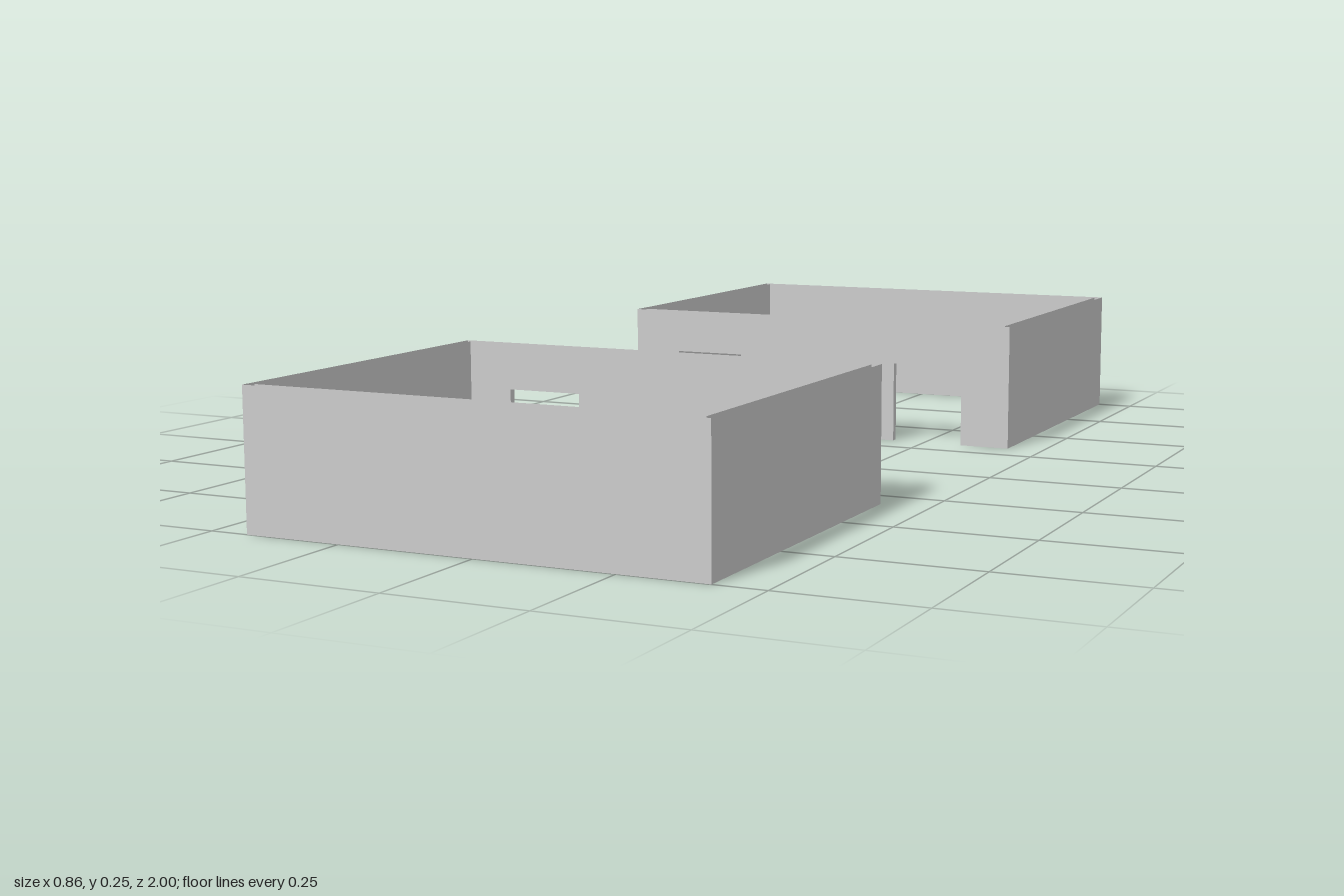
import * as THREE from 'three';

const W = 0.838, H = 0.246, D = 0.676, T = 0.014; // enclosure size and wall thickness
const DOOR_X = 0.246, DOOR_W = 0.146, DOOR_H = 0.16;

const material = new THREE.MeshStandardMaterial({ color: 0xcccccc, side: THREE.DoubleSide, flatShading: true });

function add(parent, name, geometry) {
  const mesh = new THREE.Mesh(geometry, material);
  mesh.name = name;
  parent.add(mesh);
  return mesh;
}

// Upright wall skin facing +z, optionally notched by the two doorways
function skin(width, doors) {
  const s = new THREE.Shape();
  s.moveTo(-width / 2, 0);
  if (doors) {
    for (const c of [-DOOR_X, DOOR_X]) {
      s.lineTo(c - DOOR_W / 2, 0);
      s.lineTo(c - DOOR_W / 2, DOOR_H);
      s.lineTo(c + DOOR_W / 2, DOOR_H);
      s.lineTo(c + DOOR_W / 2, 0);
    }
  }
  s.lineTo(width / 2, 0);
  s.lineTo(width / 2, H);
  s.lineTo(-width / 2, H);
  s.closePath();
  return new THREE.ShapeGeometry(s);
}

function enclosure(name) {
  const g = new THREE.Group();
  g.name = name;

  // Outer and inner skins, open along the top and bottom
  for (const [layer, inset] of [['Outer', 0], ['Inner', T]]) {
    const w = W - 2 * inset, d = D - 2 * inset;
    const turn = inset ? Math.PI : 0; // inner skins face the room
    const walls = [
      ['plainWall', w, false, 0, 0, d / 2],
      ['leftWall', d, false, Math.PI / 2, w / 2, 0],
      ['doorWall', w, true, Math.PI, 0, -d / 2],
      ['rightWall', d, false, -Math.PI / 2, -w / 2, 0],
    ];
    for (const [wall, width, doors, angle, x, z] of walls) {
      const m = add(g, wall + layer, skin(width, doors));
      m.rotation.y = angle + turn;
      m.position.set(x, 0, z);
    }
  }

  // Doorway linings
  const z = -D / 2 + T / 2;
  for (const c of [-DOOR_X, DOOR_X]) {
    const lintel = add(g, 'doorLintel', new THREE.PlaneGeometry(DOOR_W, T));
    lintel.rotation.x = Math.PI / 2;
    lintel.position.set(c, DOOR_H, z);
    for (const side of [-1, 1]) {
      const jamb = add(g, 'doorJamb', new THREE.PlaneGeometry(T, DOOR_H));
      jamb.rotation.y = -side * Math.PI / 2;
      jamb.position.set(c + side * DOOR_W / 2, DOOR_H / 2, z);
    }
  }
  return g;
}

export function createModel() {
  const model = new THREE.Group();
  model.name = 'pairedEnclosures';

  // Two equal enclosures with their doorways facing each other
  const front = enclosure('frontEnclosure');
  front.position.set(-0.01, 0, 1 - D / 2);
  const back = enclosure('backEnclosure');
  back.rotation.y = Math.PI;
  back.position.set(0.01, 0, -1 + D / 2);
  model.add(front, back);
  return model;
}
